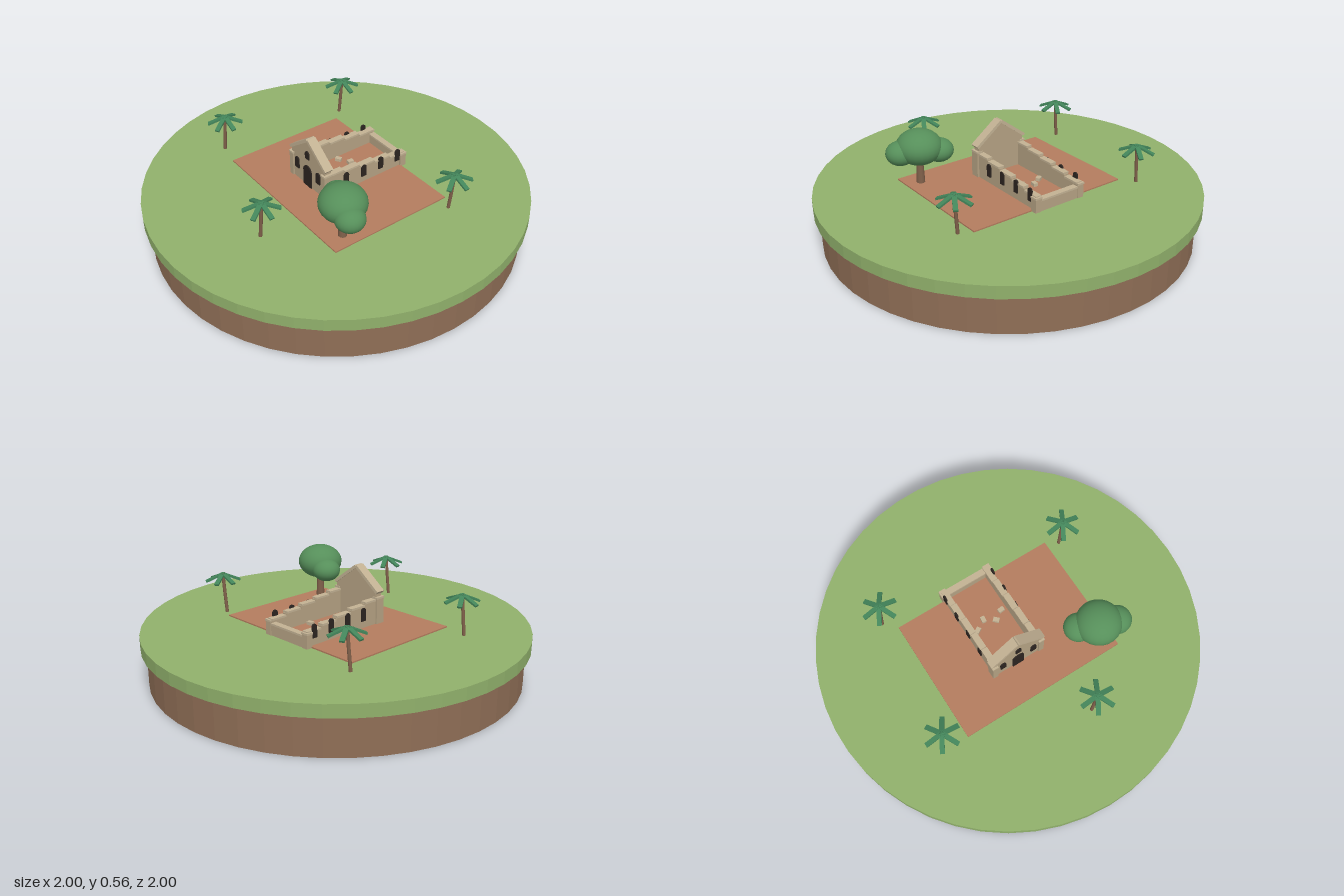
import * as THREE from 'three';

export function createModel() {
  const model = new THREE.Group();
  const mat = (name, color, flatShading = false) => {
    const m = new THREE.MeshStandardMaterial({ color, flatShading });
    m.name = name;
    return m;
  };
  const grass = mat('grass', 0x90b06b, true);
  const earth = mat('earth', 0x8f6e56, true);
  const clay = mat('clay paving', 0xb47c5e);
  const stone = mat('stone', 0xb5a283);
  const coping = mat('pale stone', 0xc2b193);
  const dark = mat('dark opening', 0x2b2420);
  const bark = mat('bark', 0x80604a);
  const leaf = mat('tree leaves', 0x568f5a);
  const palmLeaf = mat('palm leaves', 0x43855a);

  const add = (parent, name, geo, material, x = 0, y = 0, z = 0) => {
    const mesh = new THREE.Mesh(geo, material);
    mesh.name = name;
    mesh.position.set(x, y, z);
    parent.add(mesh);
    return mesh;
  };
  const box = (parent, name, material, w, h, d, x, y, z) =>
    add(parent, name, new THREE.BoxGeometry(w, h, d), material, x, y, z);
  const group = (parent, name) => {
    const g = new THREE.Group();
    g.name = name;
    parent.add(g);
    return g;
  };

  // Round island: earth base with an overhanging grass slab
  const G = 0.265;
  add(model, 'earthBase', new THREE.CylinderGeometry(0.97, 0.97, 0.2, 48), earth, 0, 0.1, 0);
  add(model, 'grassSlab', new THREE.CylinderGeometry(1, 1, 0.065, 48), grass, 0, 0.2325, 0);

  // Everything in the courtyard shares one turn
  const court = group(model, 'courtyard');
  court.rotation.y = -20 * Math.PI / 180;
  box(court, 'paving', clay, 0.914, 0.007, 0.69, 0, G + 0.0035, 0);

  // Ruined chapel, centred across its own width
  const chapel = group(court, 'chapel');
  chapel.position.set(-0.036, 0, 0);

  // Thin arched plate facing +z, its foot at y = 0
  const arch = (w, h) => {
    const s = new THREE.Shape();
    s.moveTo(-w / 2, 0);
    s.lineTo(w / 2, 0);
    s.lineTo(w / 2, h - w / 2);
    s.absarc(0, h - w / 2, w / 2, 0, Math.PI, false);
    s.closePath();
    return new THREE.ExtrudeGeometry(s, { depth: 0.009, bevelEnabled: false, curveSegments: 10 });
  };

  // Gabled front wall
  const front = 0.15, thick = 0.04, half = 0.14, eave = 0.438, apex = 0.543;
  const gable = new THREE.Shape([[-half, G], [half, G], [half, eave], [0, apex], [-half, eave]]
    .map(([x, y]) => new THREE.Vector2(x, y)));
  add(chapel, 'frontWall', new THREE.ExtrudeGeometry(gable, { depth: thick, bevelEnabled: false }),
    stone, 0, 0, front - thick);
  const slope = Math.atan2(apex - eave, half);
  for (const s of [-1, 1]) {
    const slab = box(chapel, 'gableCoping', coping, 0.187, 0.016, 0.05,
      s * 0.076, (eave + apex) / 2 + 0.004, front - thick / 2);
    slab.rotation.z = -s * slope;
    box(chapel, 'frontButtress', stone, 0.03, 0.14, 0.05, s * 0.137, G + 0.07, front - 0.017);
    box(chapel, 'buttressCap', coping, 0.034, 0.01, 0.054, s * 0.137, G + 0.145, front - 0.017);
    add(chapel, 'frontWindow', arch(0.032, 0.065), dark, s * 0.09, 0.338, front - 0.002);
  }
  add(chapel, 'door', arch(0.066, 0.125), dark, 0, 0.271, front - 0.002);
  add(chapel, 'gableNiche', arch(0.032, 0.045), dark, 0, 0.44, front - 0.002);

  // Side walls step down towards the back; the last windows stand above them
  const tops = [0.405, 0.393, 0.38, 0.365, 0.35];
  const seg = 0.1, wallX = 0.128;
  for (const s of [-1, 1]) {
    const side = group(chapel, s > 0 ? 'leftWall' : 'rightWall');
    tops.forEach((top, i) => {
      const z = front - thick - seg * (i + 0.5) + 0.02;
      const h = top - 0.01 - G;
      box(side, 'wallStep', stone, 0.028, h, seg, s * wallX, G + h / 2, z);
      box(side, 'wallCoping', coping, 0.034, 0.01, seg * 0.92, s * wallX, top - 0.005, z);
      const win = add(side, 'sideWindow', arch(0.03, 0.07), dark,
        s * (wallX + 0.012), 0.31, 0.128 - 0.112 * i);
      win.rotation.y = s * Math.PI / 2;
    });
  }

  // Low back wall with corner piers
  const back = -0.357;
  box(chapel, 'backWall', stone, 0.27, 0.055, 0.028, 0, G + 0.0275, back);
  box(chapel, 'backCoping', coping, 0.265, 0.01, 0.034, 0, G + 0.06, back);
  for (const s of [-1, 1]) {
    box(chapel, 'backPier', stone, 0.036, 0.07, 0.036, s * 0.134, G + 0.035, back);
    box(chapel, 'pierCap', coping, 0.04, 0.01, 0.04, s * 0.134, G + 0.075, back);
  }

  // Fallen stones on the chapel floor
  [[-0.075, -0.14], [-0.01, -0.155], [0.03, -0.1], [0.09, -0.115]].forEach(([x, z], i) => {
    const rock = box(model, 'fallenStone', coping, 0.033, 0.018, 0.024, x, G + 0.015, z);
    rock.rotation.y = i * 0.9 + 0.2;
  });

  // Broad tree with three flattened crowns
  const tree = group(model, 'broadTree');
  add(tree, 'trunk', new THREE.CylinderGeometry(0.016, 0.023, 0.16, 10), bark, 0.272, G + 0.08, 0.36);
  for (const [x, y, z, r, k] of [
    [0.273, 0.47, 0.36, 0.12, 0.76],
    [0.2, 0.443, 0.29, 0.076, 0.8],
    [0.35, 0.447, 0.42, 0.076, 0.82],
  ]) {
    add(tree, 'crown', new THREE.SphereGeometry(r, 24, 16), leaf, x, y, z).scale.y = k;
  }

  // Palms: leaning trunk and six drooping fronds
  const frond = new THREE.BoxGeometry(0.098, 0.01, 0.024).translate(0.049, 0, 0);
  const trunkPath = new THREE.CatmullRomCurve3([[-0.018, 0, 0], [-0.008, 0.11, 0], [0, 0.215, 0]]
    .map((p) => new THREE.Vector3(...p)));
  const trunkGeo = new THREE.TubeGeometry(trunkPath, 6, 0.009, 8);
  for (const [x, z] of [[-0.328, -0.565], [-0.643, 0.095], [-0.038, 0.575], [0.614, -0.11]]) {
    const palm = group(model, 'palm');
    palm.position.set(x, G, z);
    add(palm, 'palmTrunk', trunkGeo, bark);
    for (let i = 0; i < 6; i++) {
      const f = add(palm, 'frond', frond, palmLeaf, 0, 0.211, 0);
      f.rotation.set(0, -(20 + 60 * i) * Math.PI / 180, -0.4);
    }
  }
  return model;
}
